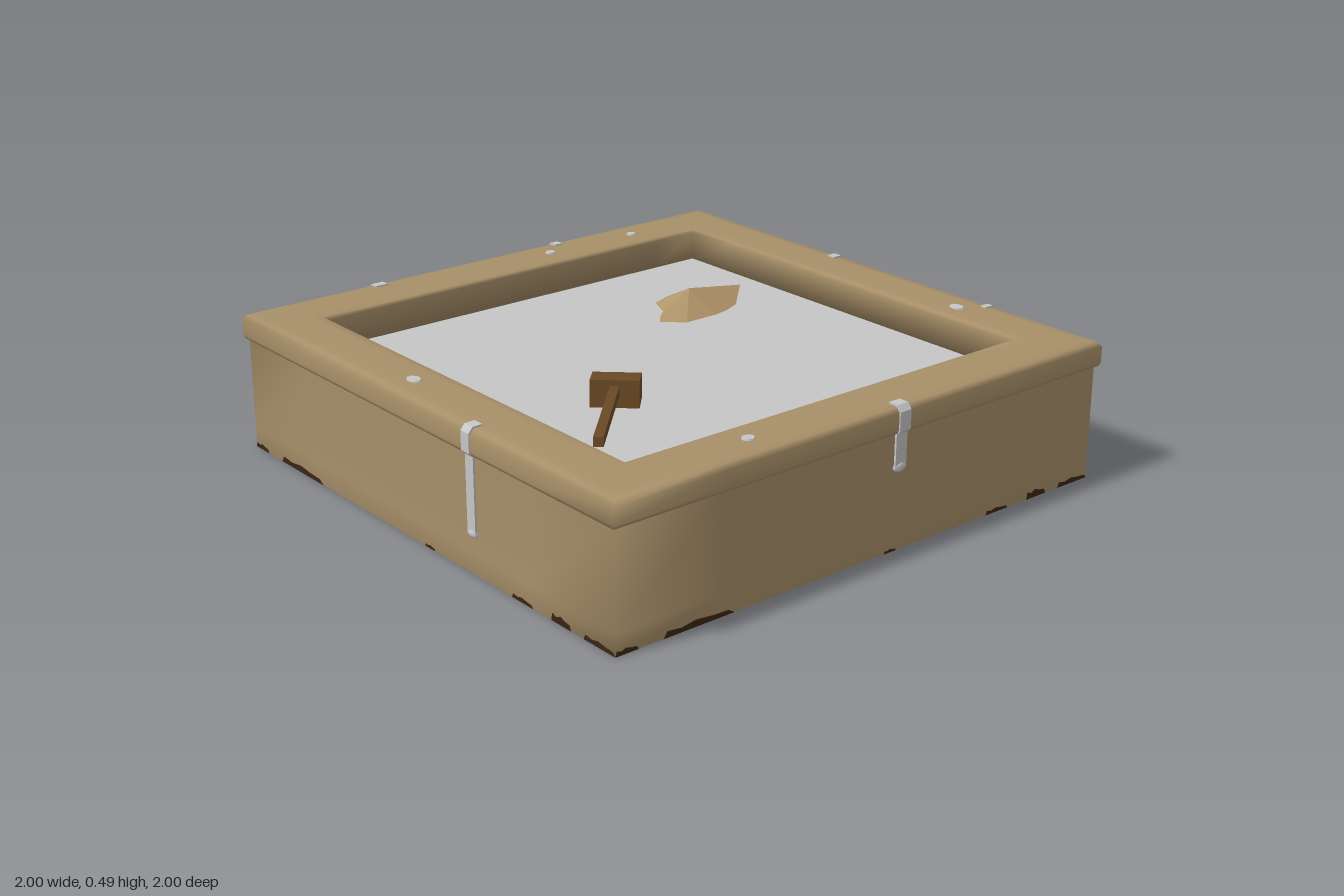
import * as THREE from 'three';

const mat = (name, color, extra = {}) => {
  const m = new THREE.MeshStandardMaterial({ color, ...extra });
  m.name = name;
  return m;
};

// Sweep a closed [distance, height] profile around a square, with shared smooth normals
function squareSweep(profile, stops) {
  const pos = [], idx = [];
  const n = (stops.length + 1) * 4;
  for (const [d, y] of profile) {
    for (let side = 0; side < 4; side++) {
      const a = side * Math.PI / 2, c = Math.cos(a), s = Math.sin(a);
      for (const t of [-d, ...stops]) pos.push(t * c + d * s, y, d * c - t * s);
    }
  }
  for (let i = 0; i < profile.length; i++) {
    const j = (i + 1) % profile.length;
    for (let k = 0; k < n; k++) {
      const l = (k + 1) % n;
      idx.push(i * n + k, i * n + l, j * n + l, i * n + k, j * n + l, j * n + k);
    }
  }
  const g = new THREE.BufferGeometry();
  g.setAttribute('position', new THREE.Float32BufferAttribute(pos, 3));
  g.setIndex(idx);
  g.computeVertexNormals();
  return g;
}

export function createModel() {
  const wood = mat('worn tan wood', 0xa89069);
  const lime = mat('pale grey lime', 0xc6c6c6, { side: THREE.DoubleSide });
  const toolWood = mat('brown tool wood', 0x6b4a26);
  const sand = mat('sand', 0xb09468, { side: THREE.DoubleSide, flatShading: true });
  const grime = mat('dark grime', 0x3a2615);

  const model = new THREE.Group();
  model.name = 'mixingTrough';
  const add = (name, geometry, material, parent = model) => {
    const m = new THREE.Mesh(geometry, material);
    m.name = name;
    parent.add(m);
    return m;
  };

  // Open-bottomed walls with an overhanging rounded rim
  add('troughFrame', squareSweep([
    [0.98, 0], [0.98, 0.07], [0.98, 0.385], [0.99, 0.388], [0.995, 0.4], [0.995, 0.455], [0.982, 0.47],
    [0.95, 0.472], [0.83, 0.472], [0.8, 0.47], [0.79, 0.46], [0.79, 0.355], [0.968, 0.385], [0.968, 0.004],
  ], [-0.6, 0, 0.6]), wood);

  // Lime filling
  const fill = add('limeSurface', new THREE.PlaneGeometry(1.58, 1.58).rotateX(-Math.PI / 2), lime);
  fill.position.y = 0.36;

  // Drips that run over the rim: side (quarter turns from the front), place along it, width, lower end
  const drips = [
    [0, 0.1, 0.045, 0.27], [1, -0.525, 0.024, 0.3], [1, 0.21, 0.034, 0.2],
    [2, 0.475, 0.045, 0.2], [2, -0.285, 0.032, 0.15], [3, 0.31, 0.04, 0.13],
  ];
  for (const [side, along, w, low] of drips) {
    const turn = new THREE.Group();
    turn.name = 'drip';
    turn.rotation.y = side * Math.PI / 2;
    model.add(turn);
    const outline = new THREE.Shape([
      [0.95, 0.468], [0.95, 0.477], [0.984, 0.476], [0.9995, 0.458], [0.9995, 0.396], [0.987, 0.383],
      [0.987, low], [0.975, low], [0.975, 0.392], [0.99, 0.4], [0.99, 0.455], [0.98, 0.466],
    ].map(p => new THREE.Vector2(...p)));
    const run = new THREE.ExtrudeGeometry(outline, { depth: w, bevelEnabled: false });
    run.rotateY(-Math.PI / 2).translate(along + w / 2, 0, 0);
    add('dripRun', run, lime, turn);
    const bead = add('dripBead', new THREE.SphereGeometry(1, 8, 6), lime, turn);
    bead.scale.set(w * 0.6, w * 0.4, 0.012);
    bead.position.set(along, low + w * 0.1, 0.98);
  }

  // Splashes on top of the rim
  const splashes = [
    [0.205, -0.895, 0.021, 0.018], [0.575, -0.89, 0.019, 0.018], [0.885, 0.465, 0.021, 0.029],
    [-0.425, 0.89, 0.023, 0.021], [-0.895, -0.11, 0.022, 0.03],
  ];
  for (const [x, z, rx, rz] of splashes) {
    const s = add('splash', new THREE.CylinderGeometry(0.9, 1, 0.005, 7), lime);
    s.scale.set(rx, 1, rz);
    s.position.set(x, 0.4745, z);
  }

  // Mixing hammer leaning from the rim, its head sunk in the lime
  const tool = new THREE.Group();
  tool.name = 'mixingTool';
  tool.position.set(-0.357, 0.398, 0.198);
  tool.rotation.order = 'YXZ';
  tool.rotation.set(-0.1, Math.atan2(-0.41, 0.44), 0);
  model.add(tool);
  add('toolHead', new THREE.BoxGeometry(0.155, 0.09, 0.1), toolWood, tool);
  const handle = add('toolHandle', new THREE.BoxGeometry(0.03, 0.03, 0.58), toolWood, tool);
  handle.position.set(0, 0.012, 0.315);

  // Heap of sand: a fan from the peak to an irregular edge
  const edge = [
    [0.19, 0.345, -0.29], [0.29, 0.355, -0.23], [0.43, 0.355, -0.23], [0.55, 0.365, -0.27], [0.635, 0.4, -0.345],
    [0.53, 0.375, -0.38], [0.435, 0.37, -0.4], [0.42, 0.365, -0.49], [0.34, 0.365, -0.46], [0.3, 0.365, -0.37],
  ];
  const peak = [0.41, 0.43, -0.36];
  const heap = new THREE.BufferGeometry();
  heap.setAttribute('position', new THREE.Float32BufferAttribute(
    edge.flatMap((p, i) => [...peak, ...p, ...edge[(i + 1) % edge.length]]), 3));
  heap.computeVertexNormals();
  add('sandHeap', heap, sand);

  // Ragged grime along the foot of each wall: start, end, height
  const patches = [[-0.98, -0.9, 0.018], [-0.81, -0.55, 0.022], [0.05, 0.1, 0.01],
    [0.5, 0.6, 0.014], [0.69, 0.78, 0.026], [0.84, 0.98, 0.018]];
  for (let side = 0; side < 4; side++) {
    const turn = new THREE.Group();
    turn.name = 'wallGrime';
    turn.rotation.y = side * Math.PI / 2;
    model.add(turn);
    for (const [a, b, h] of patches) {
      const w = b - a;
      const ragged = new THREE.Shape([
        [a, 0], [b, 0], [b - w * 0.08, h * 0.6], [a + w * 0.7, h * 0.7],
        [a + w * 0.45, h], [a + w * 0.25, h * 0.65], [a + w * 0.05, h * 0.9],
      ].map(p => new THREE.Vector2(...p)));
      add('grimePatch', new THREE.ExtrudeGeometry(ragged, { depth: 0.016, bevelEnabled: false })
        .translate(0, 0, 0.966), grime, turn);
    }
  }
  return model;
}
